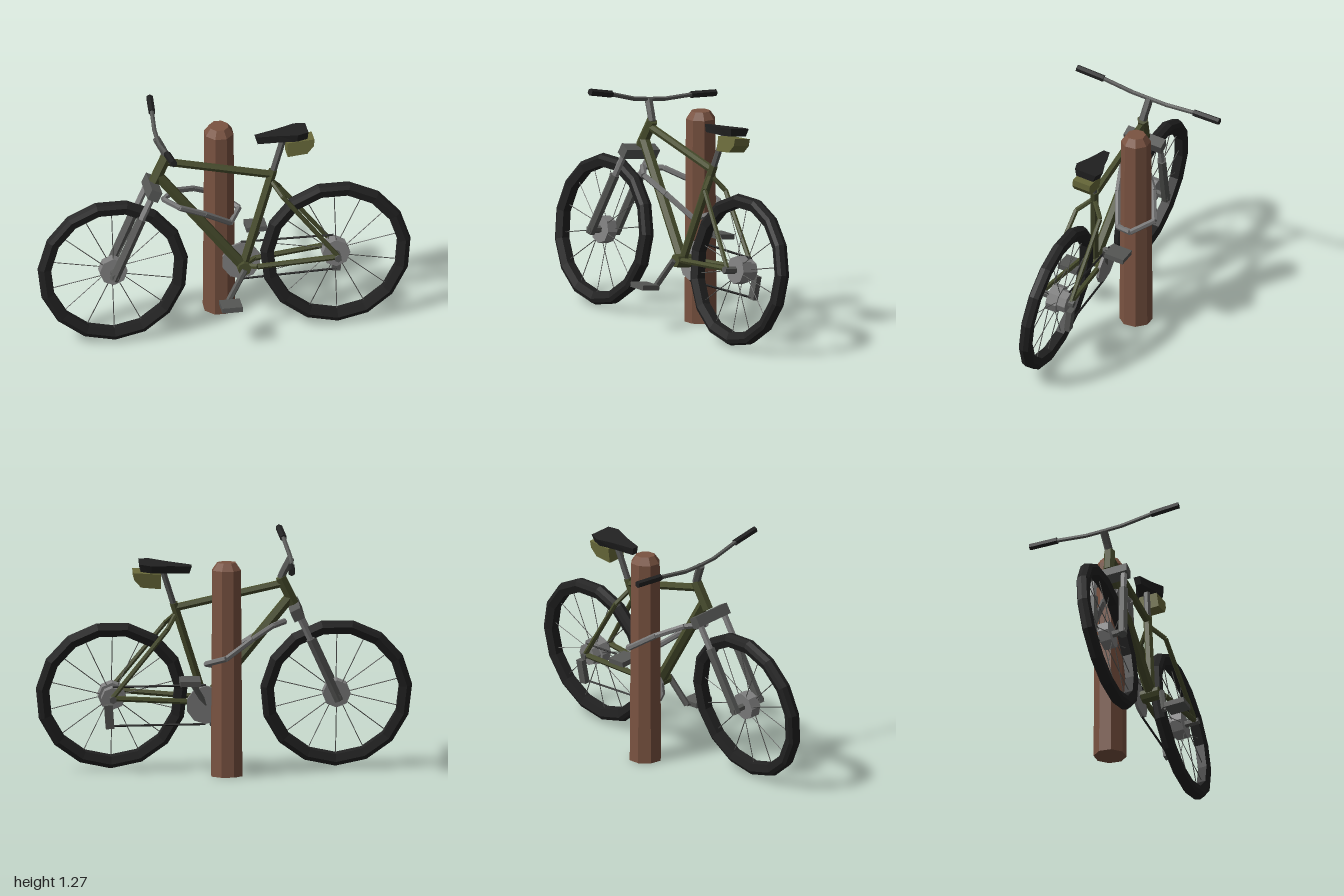
import * as THREE from 'three';

const mat = (name, color) => {
  const m = new THREE.MeshStandardMaterial({ color, flatShading: true });
  m.name = name;
  return m;
};

export function createModel() {
  const M = {
    wood: mat('wood', 0x7a5341),
    frame: mat('olive frame', 0x484d2d),
    bag: mat('light olive bag', 0x6a6b3b),
    black: mat('black rubber', 0x212121),
    metal: mat('dark grey metal', 0x575856),
    disc: mat('light grey metal', 0x808080),
    lock: mat('lock grey', 0x757575),
  };
  const V = (x, y, z = 0) => new THREE.Vector3(x, y, z);
  const model = new THREE.Group();
  model.name = 'bicycleAgainstPost';
  const bike = new THREE.Group();
  bike.name = 'bicycle';
  model.add(bike);

  const add = (name, geo, material, parent = bike) => {
    const m = new THREE.Mesh(geo, material);
    m.name = name;
    parent.add(m);
    return m;
  };
  // Straight tube between two points
  const tube = (name, a, b, r, material, parent = bike, sides = 6, r2 = r) => {
    const d = b.clone().sub(a);
    const m = add(name, new THREE.CylinderGeometry(r2, r, d.length(), sides), material, parent);
    m.position.copy(a).addScaledVector(d, 0.5);
    m.quaternion.setFromUnitVectors(V(0, 1), d.normalize());
    return m;
  };
  // Chain of tubes through a list of points
  const path = (name, pts, r, material, parent = bike, sides = 6) => {
    for (let i = 1; i < pts.length; i++) tube(name, pts[i - 1], pts[i], r, material, parent, sides);
  };
  const box = (name, w, h, d, pos, material, rz = 0) => {
    const m = add(name, new THREE.BoxGeometry(w, h, d), material);
    m.position.copy(pos);
    m.rotation.z = rz;
    return m;
  };

  // Wheels: tyre, hub, axle and spokes
  const axles = { front: V(-0.597, 0.415), rear: V(0.595, 0.415) };
  const tyreProfile = [[0.335, -0.024], [0.375, -0.036], [0.396, -0.026], [0.405, 0],
    [0.396, 0.026], [0.375, 0.036], [0.335, 0.024], [0.335, -0.024]]
    .map(([x, y]) => new THREE.Vector2(x, y));
  for (const [side, c] of Object.entries(axles)) {
    const wheel = new THREE.Group();
    wheel.name = side + 'Wheel';
    wheel.position.copy(c);
    bike.add(wheel);
    add('tyre', new THREE.LatheGeometry(tyreProfile, 15).rotateX(Math.PI / 2), M.black, wheel);
    tube('hub', V(0, 0, -0.03), V(0, 0, 0.03), 0.075, M.disc, wheel, 8);
    tube('axle', V(0, 0, -0.105), V(0, 0, 0.105), 0.02, M.metal, wheel);
    for (let i = 0; i < 14; i++) {
      const a = (i + 0.5) / 14 * Math.PI * 2;
      const x = Math.cos(a), y = Math.sin(a);
      tube('spoke', V(x * 0.06, y * 0.06, i % 2 ? 0.025 : -0.025), V(x * 0.34, y * 0.34), 0.0025, M.metal, wheel, 4);
    }
  }

  // Frame
  const bracket = V(0.1, 0.375), seatTop = V(0.272, 0.92);
  tube('headTube', V(-0.365, 0.91), V(-0.295, 1.055), 0.031, M.frame);
  tube('topTube', V(-0.31, 1.022), V(0.265, 0.893), 0.021, M.frame);
  tube('downTube', V(-0.345, 0.945), bracket, 0.03, M.frame);
  tube('seatTube', bracket, seatTop, 0.024, M.frame);
  tube('bottomBracket', V(0.1, 0.375, -0.05), V(0.1, 0.375, 0.05), 0.036, M.frame, bike, 8);
  for (const s of [1, -1]) {
    path('seatStay', [V(0.255, 0.865), V(0.31, 0.79, s * 0.07), V(0.595, 0.425, s * 0.085)], 0.013, M.frame);
    path('chainStay', [V(0.1, 0.375), V(0.17, 0.388, s * 0.055), V(0.595, 0.42, s * 0.085)], 0.015, M.frame);
  }

  // Fork
  box('forkCrown', 0.06, 0.06, 0.22, V(-0.378, 0.875), M.metal, -0.45);
  for (const s of [1, -1]) {
    tube('forkStanchion', V(-0.385, 0.87, s * 0.085), V(-0.47, 0.69, s * 0.085), 0.018, M.disc);
    tube('forkLeg', V(-0.45, 0.735, s * 0.085), V(-0.605, 0.395, s * 0.085), 0.026, M.metal);
  }

  // Stem and handlebar
  path('stem', [V(-0.295, 1.05), V(-0.315, 1.095), V(-0.348, 1.16)], 0.022, M.metal);
  const bar = [V(-0.345, 1.162, 0), V(-0.343, 1.164, 0.1), V(-0.33, 1.19, 0.265), V(-0.318, 1.203, 0.42)];
  for (const s of [1, -1]) {
    const p = bar.map(v => V(v.x, v.y, v.z * s));
    path('handlebar', p.slice(0, 3), 0.012, M.metal);
    tube('grip', p[2], p[3], 0.019, M.black);
  }

  // Seat post and saddle, narrower underneath
  tube('seatPost', V(0.265, 0.89), V(0.335, 1.11), 0.018, M.metal);
  const outline = [[-0.14, 0.018], [-0.02, 0.045], [0.08, 0.077], [0.14, 0.06]];
  const saddleShape = new THREE.Shape([
    ...outline.map(([x, z]) => new THREE.Vector2(x, -z)),
    ...outline.slice().reverse().map(([x, z]) => new THREE.Vector2(x, z))]);
  const saddleGeo = new THREE.ExtrudeGeometry(saddleShape, { depth: 0.042, bevelEnabled: false }).rotateX(-Math.PI / 2);
  const sp = saddleGeo.attributes.position;
  for (let i = 0; i < sp.count; i++)
    if (sp.getY(i) < 0.01) sp.setXYZ(i, sp.getX(i) * 0.94, 0, sp.getZ(i) * 0.82);
  const saddle = add('saddle', saddleGeo, M.black);
  saddle.position.set(0.322, 1.095, 0);
  saddle.rotation.z = 0.09;

  // Bag under the saddle
  const bagShape = new THREE.Shape([[0.345, 1.01], [0.45, 1.02], [0.487, 1.062], [0.49, 1.1], [0.345, 1.09]]
    .map(([x, y]) => new THREE.Vector2(x, y)));
  add('saddleBag', new THREE.ExtrudeGeometry(bagShape, { depth: 0.1, bevelEnabled: false }).translate(0, 0, -0.05), M.bag);

  // Drivetrain
  tube('chainring', V(0.1, 0.375, -0.075), V(0.1, 0.375, -0.06), 0.105, M.disc, bike, 10);
  tube('sprocket', V(0.595, 0.415, -0.075), V(0.595, 0.415, -0.03), 0.06, M.disc, bike, 8);
  tube('upperChain', V(0.1, 0.483, -0.068), V(0.595, 0.478, -0.068), 0.006, M.black, bike, 4);
  tube('lowerChain', V(0.1, 0.268, -0.068), V(0.61, 0.27, -0.09), 0.006, M.black, bike, 4);
  box('derailleur', 0.045, 0.13, 0.03, V(0.615, 0.325, -0.1), M.metal, -0.08);
  for (const s of [1, -1]) {
    const end = V(0.1 - s * 0.093, 0.375 - s * 0.155, s * 0.085);
    tube('crank', V(0.1, 0.375, s * 0.06), end, 0.017, M.metal);
    tube('pedalAxle', end, V(end.x, end.y, s * 0.14), 0.01, M.metal);
    box('pedal', 0.11, 0.028, 0.11, V(end.x, end.y, s * 0.158), M.metal);
  }

  // The bicycle leans back towards the post
  bike.rotation.x = -0.143;
  bike.position.z = 0.165;

  // Eight-sided post with a chamfered top
  const postProfile = [[0, 0], [0.088, 0], [0.08, 1.1], [0.052, 1.14], [0, 1.14]]
    .map(([x, y]) => new THREE.Vector2(x, y));
  const post = add('post', new THREE.LatheGeometry(postProfile, 8, Math.PI / 8), M.wood, model);
  post.position.z = -0.083;

  // Lock looped round the post and the down tube
  const loop = [V(-0.32, 0.8, 0.06), V(-0.25, 0.79, -0.03), V(-0.13, 0.73, -0.125), V(0.01, 0.64, -0.195),
    V(0.11, 0.6, -0.1), V(0.05, 0.575, 0), V(-0.1, 0.69, 0.07), V(-0.24, 0.77, 0.11), V(-0.32, 0.8, 0.06)];
  path('lock', loop, 0.016, M.lock, model);

  return model;
}
